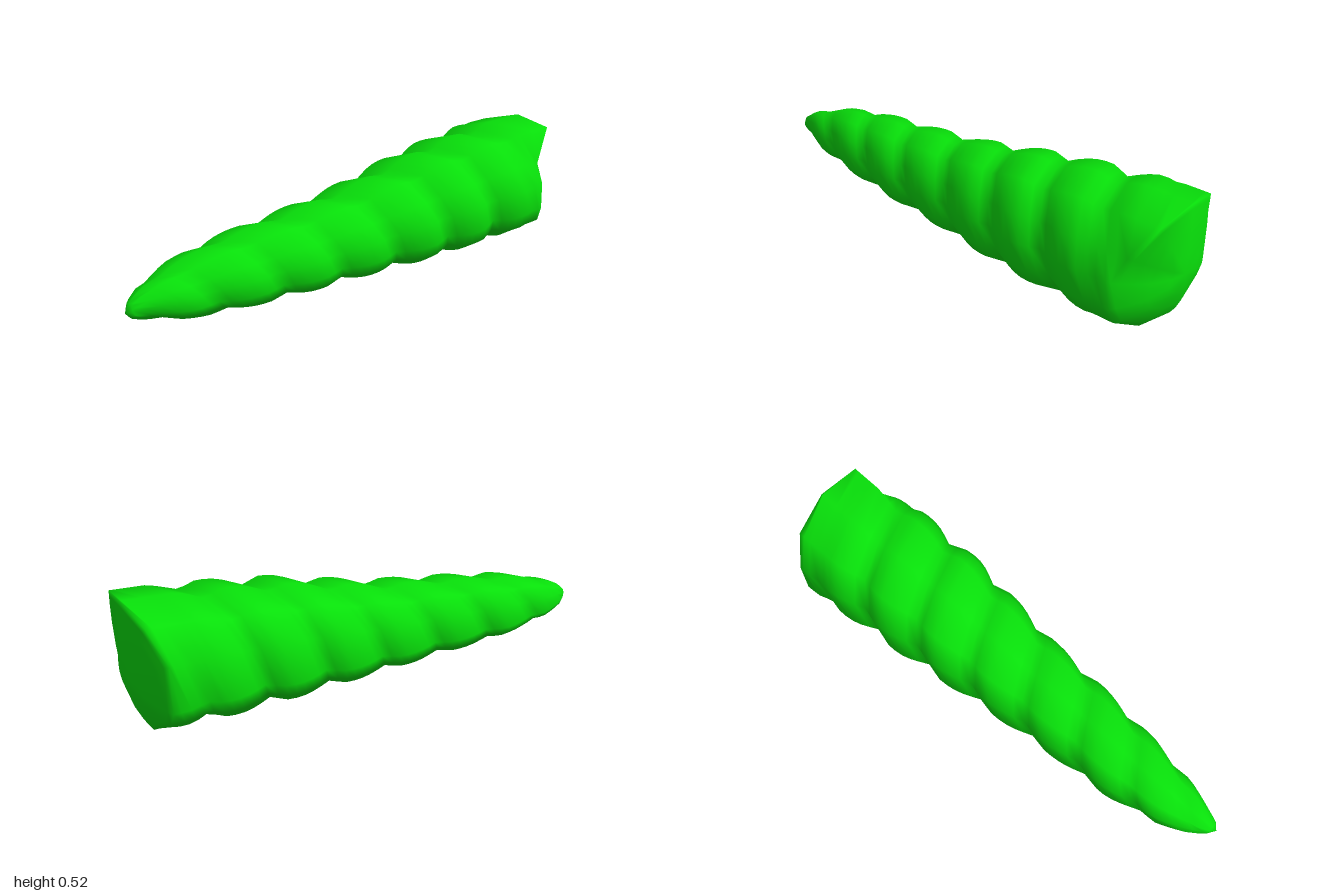
import * as THREE from 'three';
import { mergeVertices } from 'three/addons/utils/BufferGeometryUtils.js';

const STEP = 7, PITCH = 0.255, TIP = 0.98;

// z, centre x, centre y, radius from the tip to the thick end
const SECTIONS = [
  [1, 0.055, 0.165, 0.012], [0.97, 0.05, 0.17, 0.037], [0.93, 0.04, 0.175, 0.06],
  [0.8, 0.032, 0.18, 0.107], [0.6, 0.027, 0.187, 0.144], [0.3, 0.03, 0.197, 0.17],
  [0.05, 0.023, 0.206, 0.19], [-0.4, 0.017, 0.243, 0.246], [-0.75, 0, 0.262, 0.266],
  [-1, 0, 0.263, 0.272],
];
// each lengthwise edge: angle, radius scale, z of the thick end's rim, scale at the rim
const EDGES = [
  [-105, 1, -0.92, 0.91], [-67, 0.95, -0.9, 0.93], [-34, 1.03, -0.88, 0.95], [-19, 1.03, -0.87, 0.92],
  [5, 1.02, -0.87, 0.86], [28, 0.97, -0.89, 0.82], [57, 1.04, -0.98, 1], [95, 0.955, -0.985, 1],
  [132, 1.05, -0.95, 1], [161, 1.05, -0.9, 1], [197, 1.05, -0.9, 1], [212, 1.03, -0.9, 0.97],
];

function section(z) {
  let i = 0;
  while (i < SECTIONS.length - 2 && z < SECTIONS[i + 1][0]) i++;
  const a = SECTIONS[i], b = SECTIONS[i + 1];
  const t = (z - a[0]) / (b[0] - a[0]);
  return a.map((v, k) => v + (b[k] - v) * t);
}

// height of a whorl: a rounded rise, a flat back and a quick drop into the groove
function whorl(u, z) {
  const f = u - Math.floor(u + 1e-6);
  const h = f < 0.5 ? Math.sin(f * Math.PI) : Math.min(1, (1 - f) / 0.32);
  const hold = THREE.MathUtils.clamp((-0.72 - z) / 0.12, 0, 1);
  return Math.max(h, hold);
}

function hornGeometry() {
  const pos = [], index = [];
  const caps = [0.93, 0.8, 0.6, 0.3, 0];
  const bodyRows = 11 * STEP + 1, rows = bodyRows + caps.length;
  const n = EDGES.length, end = section(-1);
  for (let r = 0; r < rows; r++) {
    for (let c = 0; c <= n; c++) {
      const [angle, scale, rim, rimScale] = EDGES[c % n];
      const deg = c === n ? angle + 360 : angle;
      const ang = THREE.MathUtils.degToRad(deg);
      // rows follow the two interleaved spirals
      const row = Math.min(r, bodyRows - 1);
      const lead = 0.58 + PITCH * (deg - 90) / 180;
      const z = THREE.MathUtils.clamp(lead - PITCH * (row / STEP - 3), rim, TIP);
      const [, cx, cy, radius] = section(z);
      const pinch = THREE.MathUtils.clamp((-0.77 - z) / 0.12, 0, 1);
      const t = r < bodyRows ? 1 : caps[r - bodyRows];
      const rad = radius * scale * (1 + (rimScale - 1) * pinch)
        * (0.87 + 0.13 * whorl((lead - z) / PITCH, z)) * t;
      // the closing rows bulge into a shallow dome
      pos.push(
        end[1] + (cx - end[1]) * t + rad * Math.cos(ang),
        end[2] + (cy - end[2]) * t + rad * Math.sin(ang),
        t < 1 ? -1 + (rim + 1) * t ** 2.2 : z,
      );
    }
  }
  const w = n + 1, apex = rows * w;
  pos.push(0.055, 0.165, 1);
  for (let c = 0; c < n; c++) {
    index.push(apex, c, c + 1);
    for (let r = 0; r < rows - 1; r++) {
      const a = r * w + c, b = a + 1, d = a + w, e = d + 1;
      index.push(a, d, b, b, d, e);
    }
  }
  let g = new THREE.BufferGeometry();
  g.setAttribute('position', new THREE.Float32BufferAttribute(pos, 3));
  g.setIndex(index);
  g = mergeVertices(g, 1e-4);
  // drop the collapsed triangles at both ends
  const src = g.index.array, keep = [];
  for (let i = 0; i < src.length; i += 3) {
    const [a, b, c] = [src[i], src[i + 1], src[i + 2]];
    if (a !== b && b !== c && a !== c) keep.push(a, b, c);
  }
  g.setIndex(keep);
  g.computeVertexNormals();
  return g;
}

export function createModel() {
  const group = new THREE.Group();
  group.name = 'spiralHorn';
  const green = new THREE.MeshStandardMaterial({ color: 0x08e00a });
  green.name = 'green';
  const horn = new THREE.Mesh(hornGeometry(), green);
  horn.name = 'twistedHorn';
  group.add(horn);
  return group;
}
